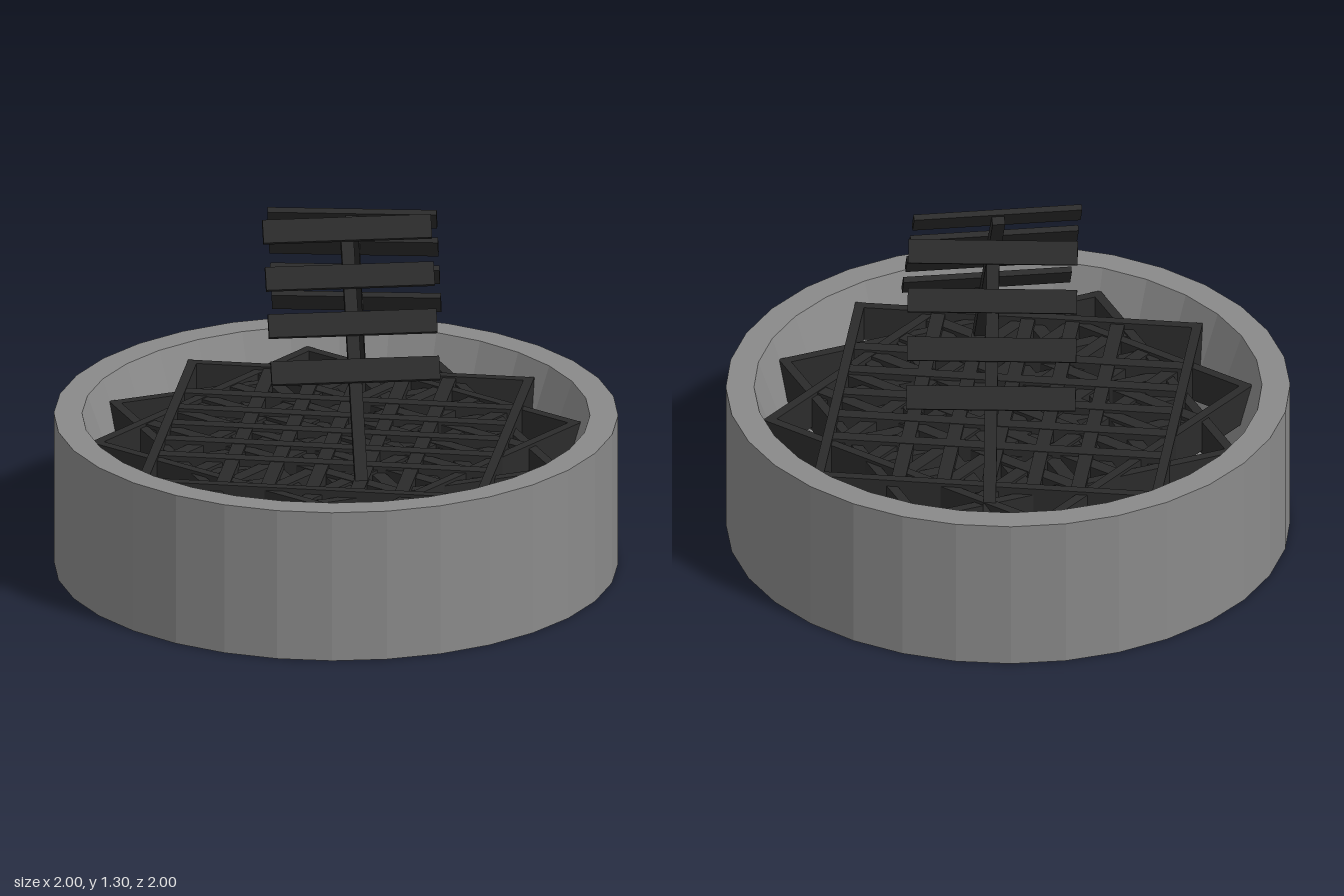
import * as THREE from 'three';

const stone = new THREE.MeshStandardMaterial({ color: 0x8a8a8a, flatShading: true });
stone.name = 'grey stone';
const iron = new THREE.MeshStandardMaterial({ color: 0x2b2b2b, flatShading: true });
iron.name = 'dark iron';

function box(parent, name, w, h, d, x, y, z) {
  const mesh = new THREE.Mesh(new THREE.BoxGeometry(w, h, d), iron);
  mesh.name = name;
  mesh.position.set(x, y, z);
  parent.add(mesh);
  return mesh;
}

// Round basin with a flat rim and a tapered hollow
function createBasin() {
  const profile = [[0, 0], [1, 0], [1, 0.56], [0.9, 0.56], [0.77, 0.2], [0, 0.2]]
    .map(([r, y]) => new THREE.Vector2(r, y));
  const basin = new THREE.Mesh(new THREE.LatheGeometry(profile, 32), stone);
  basin.name = 'basin';
  return basin;
}

// Square frame filled with a lattice of crossing bars
function createGrate(angle, top) {
  const grate = new THREE.Group();
  grate.name = 'grate';
  const half = 0.62, rim = 0.035, height = 0.13;
  const outline = new THREE.Shape([[-1, -1], [1, -1], [1, 1], [-1, 1]]
    .map(([x, y]) => new THREE.Vector2(x * half, y * half)));
  const inner = half - rim;
  outline.holes.push(new THREE.Path([[-1, -1], [-1, 1], [1, 1], [1, -1]]
    .map(([x, y]) => new THREE.Vector2(x * inner, y * inner))));
  const geometry = new THREE.ExtrudeGeometry(outline, { depth: height, bevelEnabled: false });
  geometry.rotateX(-Math.PI / 2);
  const frame = new THREE.Mesh(geometry, iron);
  frame.name = 'grateFrame';
  frame.position.y = -height;
  grate.add(frame);

  for (let i = -2; i <= 2; i++) {
    const offset = i * 0.16;
    box(grate, 'grateBar', 0.05, 0.1, inner * 2, offset, -0.054, 0);
    box(grate, 'grateCrossBar', inner * 2, 0.1, 0.05, 0, -0.056, offset);
  }
  grate.position.y = top;
  grate.rotation.y = angle;
  return grate;
}

// Leaning post with four flat slats; the origin is the top slat
function createRack(name, x, y, z, yaw) {
  const rack = new THREE.Group();
  rack.name = name;
  box(rack, 'post', 0.045, 1.04, 0.035, 0, -0.49, -0.025);
  for (let i = 0; i < 4; i++) {
    box(rack, 'slat', 0.6, 0.085, 0.022, 0, -0.173 * i, 0);
  }
  rack.position.set(x, y, z);
  rack.rotation.set(THREE.MathUtils.degToRad(-35), THREE.MathUtils.degToRad(yaw), 0, 'YXZ');
  return rack;
}

export function createModel() {
  const model = new THREE.Group();
  model.name = 'firePit';
  model.add(createBasin());

  // Three turned squares make a twelve-pointed star
  for (let i = 0; i < 3; i++) {
    model.add(createGrate(i * Math.PI / 6, 0.48 + i * 0.012));
  }

  model.add(createRack('frontRack', 0.04, 1.255, 0.005, -16));
  model.add(createRack('backRack', 0.13, 1.225, -0.17, 155.5));
  return model;
}
